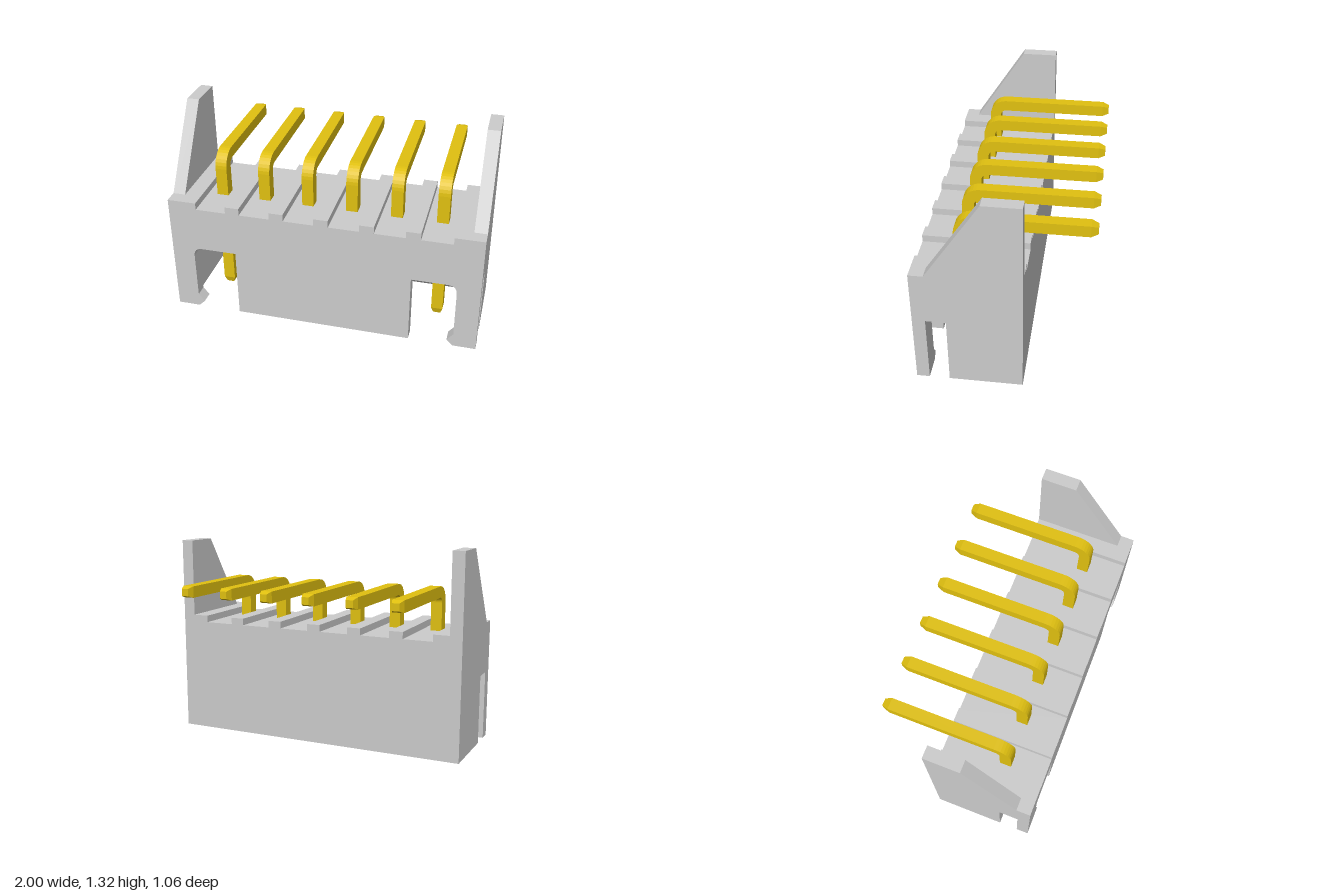
import * as THREE from 'three';

const PITCH = 0.2866, PINS = 6;
const pinX = i => (i - (PINS - 1) / 2) * PITCH;

const plastic = new THREE.MeshStandardMaterial({ color: 0xcccccc, flatShading: true });
const brass = new THREE.MeshStandardMaterial({ color: 0xe0c010, flatShading: true });

const outline = pts => new THREE.Shape(pts.map(p => new THREE.Vector2(...p)));

// Extrude an x/y outline from z0 to z1
function alongZ(shape, z0, z1) {
  return new THREE.ExtrudeGeometry(shape, { depth: z1 - z0, bevelEnabled: false, curveSegments: 8 }).translate(0, 0, z0);
}

// Extrude a z/y outline from x0 to x1
function alongX(pts, x0, x1) {
  const shape = outline(pts.map(([z, y]) => [-z, y]));
  return new THREE.ExtrudeGeometry(shape, { depth: x1 - x0, bevelEnabled: false })
    .rotateY(Math.PI / 2).translate(x0, 0, 0);
}

// Square wire bent from vertical to horizontal, with tapered tips
function pinGeometry() {
  const h = 0.037, r = 0.075, z = 0.272, y = 1.017, tip = 0.042;
  const rings = [[0.06, z, 0, 0.62], [0.06 + tip, z, 0, 1]];
  for (let i = 0; i <= 8; i++) {
    const a = i / 8 * Math.PI / 2;
    rings.push([y - r + r * Math.sin(a), z - r + r * Math.cos(a), a, 1]);
  }
  rings.push([y, -0.53 + tip, Math.PI / 2, 1], [y, -0.53, Math.PI / 2, 0.62]);
  const pos = [], index = [];
  for (const [cy, cz, a, s] of rings) {
    for (const [u, v] of [[1, 1], [1, -1], [-1, -1], [-1, 1]]) {
      pos.push(u * h * s, cy + v * h * s * Math.sin(a), cz + v * h * s * Math.cos(a));
    }
  }
  for (let i = 0; i < rings.length - 1; i++) {
    for (let j = 0; j < 4; j++) {
      const a = i * 4 + j, b = i * 4 + (j + 1) % 4;
      index.push(a, b, b + 4, a, b + 4, a + 4);
    }
  }
  const e = (rings.length - 1) * 4;
  index.push(0, 2, 1, 0, 3, 2, e, e + 1, e + 2, e, e + 2, e + 3);
  const g = new THREE.BufferGeometry();
  g.setAttribute('position', new THREE.Float32BufferAttribute(pos, 3));
  g.setIndex(index);
  const flat = g.toNonIndexed();
  flat.computeVertexNormals();
  return flat;
}

export function createModel() {
  const group = new THREE.Group();
  const add = (name, geometry, material = plastic) => {
    const mesh = new THREE.Mesh(geometry, material);
    mesh.name = name;
    group.add(mesh);
    return mesh;
  };

  // Top block with a shallow groove under each pin
  const top = [[0.92, 0.46], [0.92, 0.8]];
  for (let i = PINS - 1; i >= 0; i--) {
    const x = pinX(i), w = 0.098;
    top.push([x + w, 0.8], [x + w, 0.755], [x - w, 0.755], [x - w, 0.8]);
  }
  top.push([-0.92, 0.8], [-0.92, 0.46]);
  add('groovedTopBlock', alongZ(outline(top), -0.13, 0.53));

  // Back wall, chamfered inside along its lower edge
  add('backWall', alongX([[-0.13, 0], [-0.09, 0], [-0.05, 0.04], [-0.05, 0.46], [-0.13, 0.46]], -0.92, 0.92));

  // Side walls rising into sloped wings
  const side = [[-0.13, 0], [0.325, 0], [0.325, 0.46], [0.53, 0.46], [0.53, 0.8], [0.44, 0.8], [0.1, 1.315], [-0.13, 1.315]];
  add('leftSideWall', alongX(side, 0.92, 1));
  add('rightSideWall', alongX(side, -1, -0.92));

  // Front centre panel
  add('frontPanel', new THREE.BoxGeometry(1.14, 0.46, 0.08).translate(0, 0.23, 0.49));

  // Front corner legs with latch hooks, beside the windows
  for (const s of [1, -1]) {
    const leg = new THREE.Shape();
    leg.moveTo(s, 0);
    leg.lineTo(s, 0.46);
    leg.lineTo(s * 0.795, 0.46);
    leg.quadraticCurveTo(s * 0.855, 0.46, s * 0.855, 0.4);
    leg.lineTo(s * 0.855, 0.09);
    leg.lineTo(s * 0.815, 0.04);
    leg.lineTo(s * 0.855, 0);
    add(s > 0 ? 'leftLatchLeg' : 'rightLatchLeg', alongZ(leg, 0.45, 0.53));
  }

  // Contact pins
  const pin = pinGeometry();
  for (let i = 0; i < PINS; i++) add(`pin${i + 1}`, pin, brass).position.x = pinX(i);

  return group;
}
